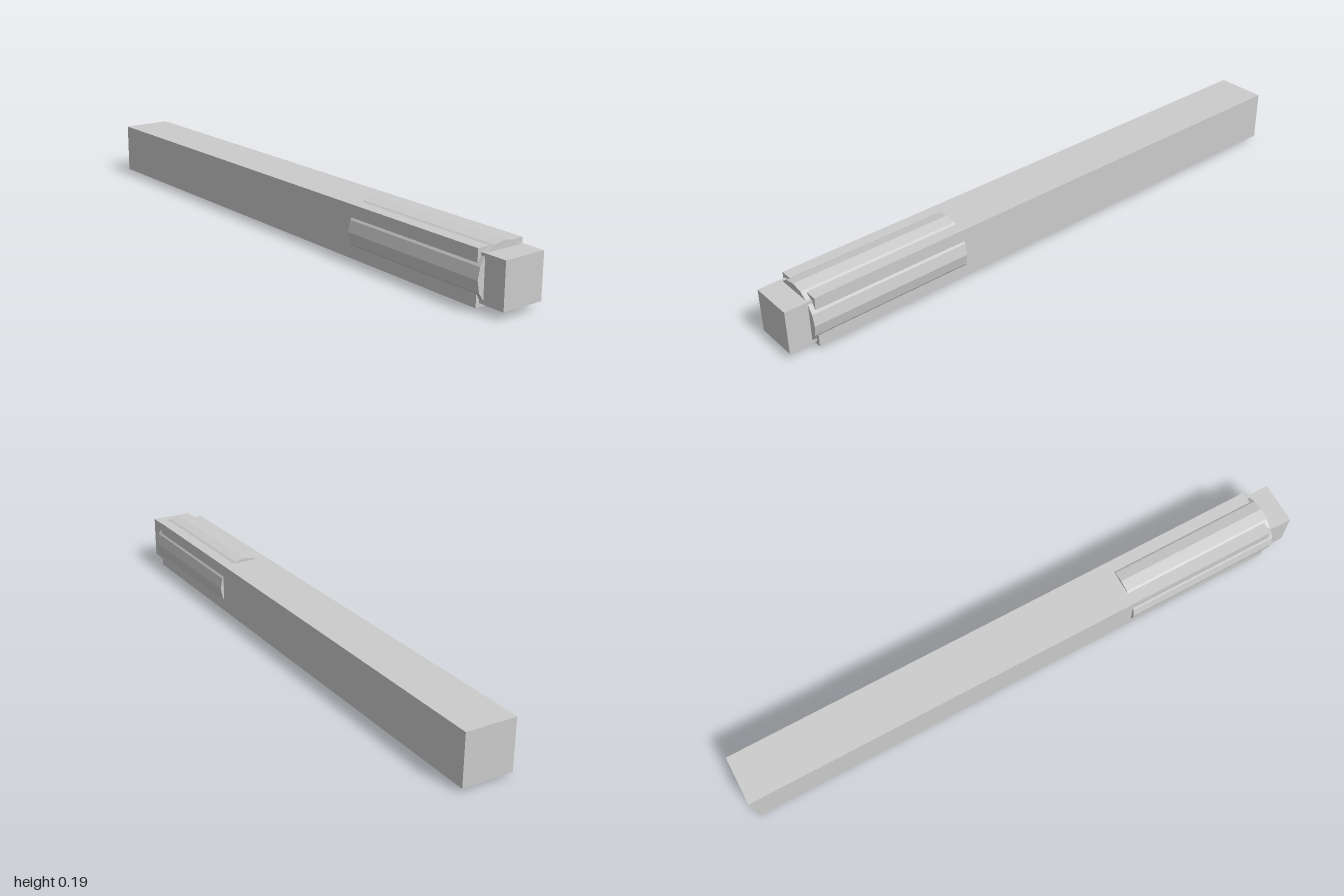
import * as THREE from 'three';

export function createModel() {
  const group = new THREE.Group();
  const material = new THREE.MeshStandardMaterial({ color: 0xcccccc, flatShading: true });
  const centreY = 0.098;

  // Places a part on the long axis between two z positions
  const add = (name, geometry, back, front) => {
    const mesh = new THREE.Mesh(geometry, material);
    mesh.name = name;
    mesh.position.set(0, centreY, (back + front) / 2);
    group.add(mesh);
  };
  const squareBar = (name, width, back, front) =>
    add(name, new THREE.BoxGeometry(width, width, front - back), back, front);

  // Long square body and the narrower square tip
  squareBar('body', 0.17, -1, 0.91);
  squareBar('tip', 0.145, 0.9, 1);

  // Sixteen-sided sleeve that bulges through the four body faces
  const sleeve = new THREE.CylinderGeometry(0.097, 0.097, 0.545, 16).rotateX(Math.PI / 2);
  add('sleeve', sleeve, 0.38, 0.925);

  return group;
}
